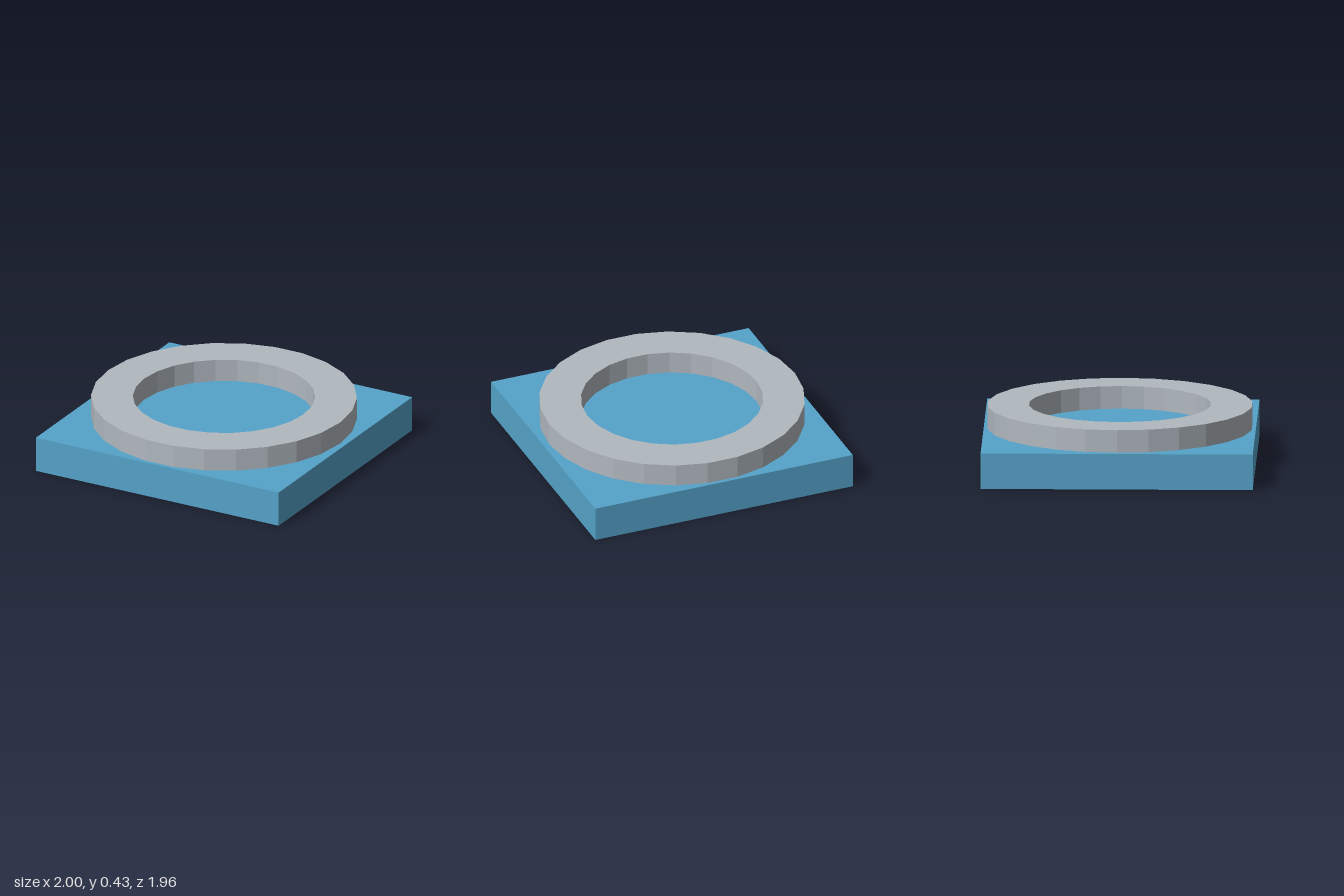
import * as THREE from 'three';

export function createModel() {
  const group = new THREE.Group();
  const blue = new THREE.MeshStandardMaterial({ color: 0x55a3c9 });
  blue.name = 'blue';
  const grey = new THREE.MeshStandardMaterial({ color: 0xb0b8bf });
  grey.name = 'grey';
  grey.flatShading = true;

  const baseHeight = 0.26, top = 0.425;

  // Slab the ring rests on
  const base = new THREE.Mesh(new THREE.BoxGeometry(2, baseHeight, 1.955), blue);
  base.name = 'base';
  base.position.y = baseHeight / 2;
  group.add(base);

  // Faceted ring: closed rectangular section turned in 26 steps, corners on the x axis
  const inner = 0.655, outer = 0.955;
  const section = [
    [inner, baseHeight], [outer, baseHeight], [outer, top], [inner, top], [inner, baseHeight],
  ].map(([x, y]) => new THREE.Vector2(x, y));
  const ring = new THREE.Mesh(new THREE.LatheGeometry(section, 26, Math.PI / 2), grey);
  ring.name = 'ring';
  group.add(ring);

  return group;
}
